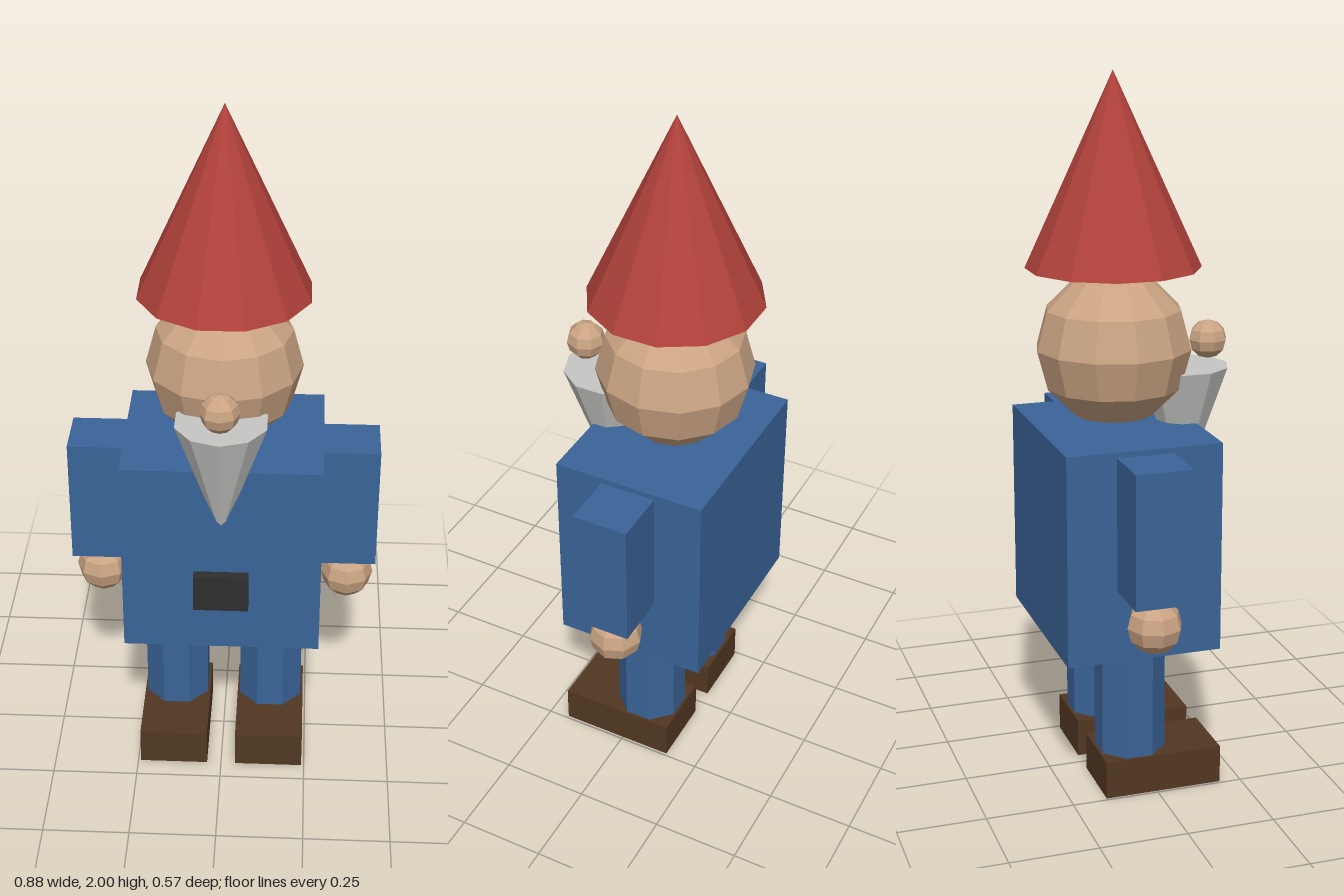
import * as THREE from 'three';

export function createModel() {
  const group = new THREE.Group();
  const material = (name, color) => {
    const m = new THREE.MeshStandardMaterial({ color, flatShading: true });
    m.name = name;
    return m;
  };
  const blue = material('blue cloth', 0x3a6498);
  const red = material('red felt', 0xb2423b);
  const skin = material('skin', 0xcba483);
  const grey = material('grey beard', 0xc6c6c4);
  const brown = material('brown leather', 0x523722);
  const black = material('black buckle', 0x2e2e2e);

  const Z = -0.05; // depth of the body's axis

  const add = (name, geometry, mat, x, y, z) => {
    const mesh = new THREE.Mesh(geometry, mat);
    mesh.name = name;
    mesh.position.set(x, y, z);
    group.add(mesh);
    return mesh;
  };
  const box = (w, h, d) => new THREE.BoxGeometry(w, h, d);

  // Torso and belt buckle
  add('torso', box(0.564, 0.597, 0.44), blue, 0, 0.7285, Z);
  add('buckle', box(0.156, 0.113, 0.05), black, 0, 0.638, 0.176);

  // Head, nose and beard
  add('head', new THREE.SphereGeometry(0.219, 12, 6), skin, 0, 1.247, Z);
  add('nose', new THREE.SphereGeometry(0.055, 8, 6), skin, 0, 1.25, 0.228);
  const beard = new THREE.ConeGeometry(0.131, 0.375, 10);
  beard.rotateZ(Math.PI);
  add('beard', beard, grey, 0, 0.9925, 0.153);

  // Pointed hat with a flat side to the front
  const hat = new THREE.ConeGeometry(0.243, 0.53, 12);
  hat.rotateY(Math.PI / 12);
  add('hat', hat, red, 0, 1.735, Z);

  // Limbs, mirrored
  const leg = new THREE.CylinderGeometry(0.1, 0.1, 0.33, 8);
  leg.rotateY(Math.PI / 8);
  for (const [side, s] of [['left', 1], ['right', -1]]) {
    add(side + 'Arm', box(0.16, 0.375, 0.16), blue, s * 0.361, 0.824, Z);
    add(side + 'Hand', new THREE.SphereGeometry(0.077, 8, 6), skin, s * 0.361, 0.557, Z);
    add(side + 'Leg', leg, blue, s * 0.142, 0.27, Z);
    add(side + 'Shoe', box(0.2, 0.11, 0.34), brown, s * 0.142, 0.055, 0.02);
  }
  return group;
}
